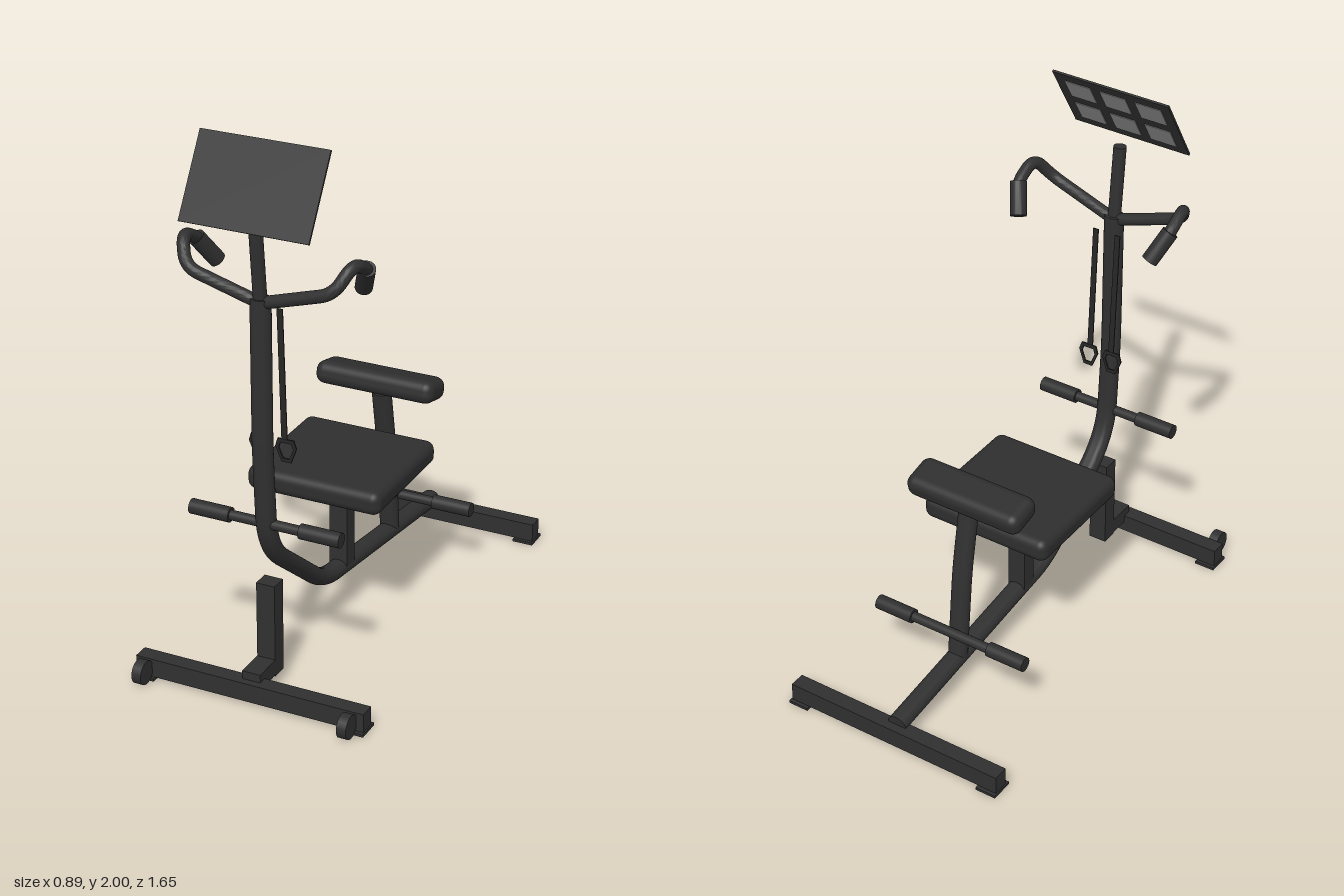
import * as THREE from 'three';
import { toCreasedNormals } from 'three/addons/utils/BufferGeometryUtils.js';
import { RoundedBoxGeometry } from 'three/addons/geometries/RoundedBoxGeometry.js';

const mat = (name, color, side = THREE.FrontSide) => {
  const m = new THREE.MeshStandardMaterial({ color, side });
  m.name = name;
  return m;
};

// Straight runs joined by rounded bends; each point is [x, y, z, bendLength]
function bentPath(points) {
  const path = new THREE.CurvePath();
  const p = points.map(([x, y, z]) => new THREE.Vector3(x, y, z));
  let from = p[0];
  for (let i = 1; i < p.length - 1; i++) {
    const bend = points[i][3];
    const a = p[i].clone().add(p[i - 1].clone().sub(p[i]).setLength(bend));
    const b = p[i].clone().add(p[i + 1].clone().sub(p[i]).setLength(bend));
    path.add(new THREE.LineCurve3(from, a));
    path.add(new THREE.QuadraticBezierCurve3(a, p[i], b));
    from = b;
  }
  path.add(new THREE.LineCurve3(from, p[p.length - 1]));
  return path;
}

// Capped round tube along a bent path
function tubeGeometry(points, radius, steps = 50) {
  const section = new THREE.Shape().absarc(0, 0, radius, 0, Math.PI * 2);
  const geometry = new THREE.ExtrudeGeometry(section, {
    extrudePath: bentPath(points), steps, curveSegments: 20,
  });
  return toCreasedNormals(geometry, 0.7);
}

export function createModel() {
  const model = new THREE.Group();
  model.name = 'exerciseMachine';
  const black = mat('blackFrame', 0x303030);
  const padding = mat('blackPadding', 0x2e2e2e);
  const strapBlack = mat('strapBlack', 0x262626, THREE.DoubleSide);
  const grey = mat('chartGrey', 0x8c8c8c);

  function add(name, geometry, material = black, pos = [0, 0, 0], parent = model) {
    const mesh = new THREE.Mesh(geometry, material);
    mesh.name = name;
    mesh.position.set(...pos);
    parent.add(mesh);
    return mesh;
  }
  const box = (name, size, pos, material = black, parent = model) =>
    add(name, new THREE.BoxGeometry(...size), material, pos, parent);
  const rod = (name, radius, length, pos, material = black) =>
    add(name, new THREE.CylinderGeometry(radius, radius, length, 24).rotateZ(Math.PI / 2), material, pos);

  // Main bent tube, slightly wider than deep
  add('mainTube', tubeGeometry([
    [0, 1.47, 0.608], [0, 0.92, 0.608, 0.08], [0, 0.53, 0.583, 0.13],
    [0, 0.202, 0.17, 0.09], [0, 0.085, -0.78],
  ], 0.032, 80).scale(1.16, 1, 1));

  // Back rest post
  add('backPost', tubeGeometry([
    [0, 0.13, -0.403], [0, 0.5, -0.367, 0.08], [0, 0.74, -0.322],
  ], 0.032, 30).scale(1.16, 1, 1));

  // Seat
  box('seatPost', [0.07, 0.36, 0.062], [0, 0.36, 0.008]);
  box('seatPlate', [0.26, 0.016, 0.26], [0, 0.541, 0.008]);
  add('seat', new RoundedBoxGeometry(0.52, 0.09, 0.495, 4, 0.034), padding, [0, 0.59, 0.007]);

  // Back pad
  const pad = add('backPad', new RoundedBoxGeometry(0.47, 0.086, 0.148, 4, 0.036), padding, [0, 0.791, -0.308]);
  pad.rotation.x = -0.22;

  // Leg rollers: thin rod with a foam sleeve on each end
  for (const [name, y, z, half] of [['frontRoller', 0.635, 0.594, 0.285], ['rearRoller', 0.265, -0.442, 0.315]]) {
    rod(name + 'Rod', 0.018, half * 2 - 0.02, [0, y, z]);
    for (const s of [-1, 1]) rod(name + 'Foam', 0.027, 0.152, [s * (half - 0.076), y, z], padding);
  }

  // Cross feet with floor plates
  for (const [name, z] of [['frontFoot', 0.712], ['rearFoot', -0.783]]) {
    box(name, [0.88, 0.07, 0.06], [0, 0.045, z]);
    for (const s of [-1, 1]) box(name + 'Plate', [0.08, 0.01, 0.088], [s * 0.405, 0.005, z]);
  }
  // Transport wheels
  for (const s of [-1, 1]) {
    rod('wheel', 0.044, 0.036, [s * 0.395, 0.046, 0.78]);
    box('wheelBracket', [0.03, 0.04, 0.06], [s * 0.395, 0.046, 0.75]);
  }
  // Front support
  box('supportArm', [0.07, 0.06, 0.17], [0, 0.081, 0.63]);
  box('supportUpright', [0.07, 0.355, 0.063], [0, 0.2225, 0.572]);

  // Neck above the main tube
  add('neck', tubeGeometry([[0, 1.42, 0.606], [0, 1.735, 0.637]], 0.0235, 1));

  // Handlebars with grips
  for (const s of [-1, 1]) {
    add('handlebar', tubeGeometry([
      [0, 1.45, 0.608], [s * 0.27, 1.535, 0.622, 0.05], [s * 0.312, 1.625, 0.56, 0.05],
      [s * 0.314, 1.575, 0.465, 0.03], [s * 0.3, 1.54, 0.437],
    ], 0.022, 50));
    add('handGrip', tubeGeometry([[s * 0.314, 1.575, 0.465], [s * 0.272, 1.478, 0.4]], 0.03, 1), padding);
  }

  // Hanging straps with loop handles
  const straps = new THREE.Group();
  straps.name = 'straps';
  straps.position.set(0, 1.42, 0.56);
  straps.rotation.x = 0.05;
  model.add(straps);
  const loopPoints = [[-0.03, 0.045], [0.03, 0.045], [0.04, 0.015], [0.018, -0.042], [-0.018, -0.042], [-0.04, 0.015]];
  const outline = (k) => loopPoints.map(([x, y]) => new THREE.Vector2(x * k, y * k));
  const loop = new THREE.Shape(outline(1));
  loop.holes.push(new THREE.Path(outline(0.68)));
  const loopGeometry = new THREE.ExtrudeGeometry(loop, { depth: 0.006, bevelEnabled: false });
  for (const s of [-1, 1]) {
    box('strap', [0.022, 0.49, 0.004], [s * 0.045, -0.245, 0], strapBlack, straps);
    add('strapLoop', loopGeometry, strapBlack, [s * 0.05, -0.53, -0.003], straps);
  }

  // Tilted display board with six chart panels facing the user
  const board = new THREE.Group();
  board.name = 'displayBoard';
  board.position.set(0, 1.867, 0.64);
  board.rotation.x = -0.543;
  model.add(board);
  box('boardPlate', [0.47, 0.308, 0.008], [0, 0, 0], black, board);
  for (let i = 0; i < 6; i++) {
    const x = (i % 3 - 1) * 0.143, y = i < 3 ? 0.068 : -0.068;
    box('chartPanel', [0.105, 0.095, 0.003], [x, y, -0.005], grey, board);
  }

  return model;
}
